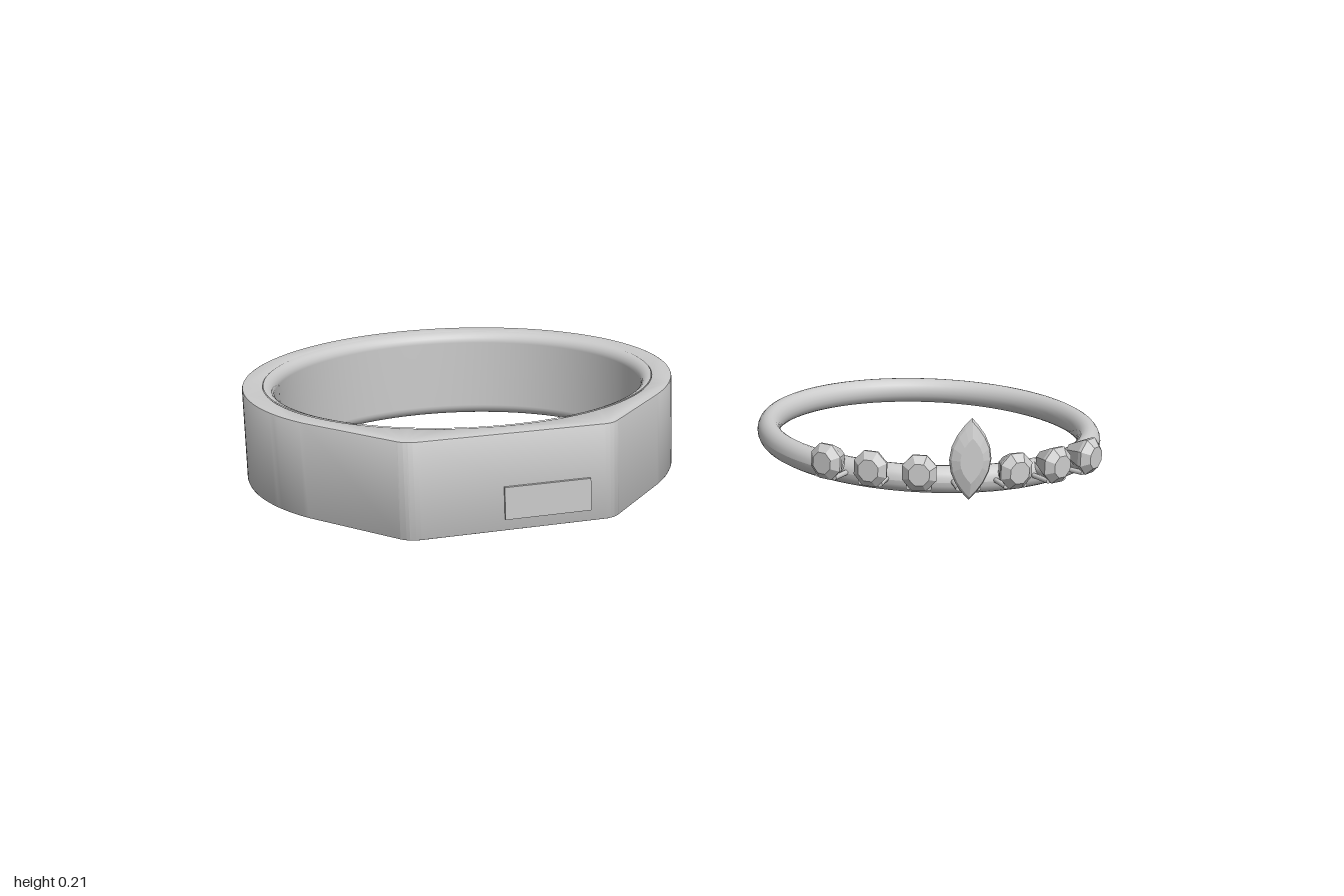
import * as THREE from 'three';
import { toCreasedNormals } from 'three/addons/utils/BufferGeometryUtils.js';

const metal = new THREE.MeshStandardMaterial({ color: 0xcccccc });
const facet = new THREE.MeshStandardMaterial({ color: 0xcccccc, flatShading: true });
const V2 = (x, y) => new THREE.Vector2(x, y);

function part(parent, name, geometry, material = metal) {
  const mesh = new THREE.Mesh(geometry, material);
  mesh.name = name;
  parent.add(mesh);
  return mesh;
}

// Wide ring: round shank running tangentially into a slanted flat front
function wideRing() {
  const ring = new THREE.Group();
  ring.name = 'wideRing';
  const H = 0.21, R = 0.485, bore = 0.415, fillet = 0.024, bevel = 0.004;

  const outline = new THREE.Shape();
  outline.absarc(0, 0, R, 2.363, 0.543, false);
  outline.lineTo(0.3, 0.436);
  outline.quadraticCurveTo(0.288, 0.456, 0.268, 0.459);
  outline.lineTo(-0.115, 0.521);
  outline.quadraticCurveTo(-0.143, 0.526, -0.163, 0.509);
  outline.closePath();
  const hole = new THREE.Path();
  hole.absarc(0, 0, bore + fillet, 0, Math.PI * 2, true);
  outline.holes.push(hole);
  const body = new THREE.ExtrudeGeometry(outline, {
    depth: H - 2 * bevel, curveSegments: 72, bevelEnabled: true,
    bevelThickness: bevel, bevelSize: bevel, bevelOffset: -bevel, bevelSegments: 2,
  });
  body.rotateX(Math.PI / 2).translate(0, H - bevel, 0);
  part(ring, 'shank', toCreasedNormals(body, 0.5));

  // bore with rounded upper and lower lips
  const profile = [];
  for (const [cy, from] of [[H - fillet, Math.PI / 2], [fillet, Math.PI]]) {
    for (let i = 0; i <= 6; i++) {
      const a = from + (i / 6) * Math.PI / 2;
      profile.push(V2(bore + fillet + fillet * Math.cos(a), cy + fillet * Math.sin(a)));
    }
  }
  part(ring, 'bore', new THREE.LatheGeometry(profile, 96));

  // small raised plate on the flat front
  const plate = part(ring, 'plate', new THREE.BoxGeometry(0.185, 0.07, 0.03));
  plate.position.set(0.143, 0.061, 0.471);
  plate.rotation.y = Math.atan2(0.062, 0.383);

  ring.position.set(-0.515, 0, -0.02);
  return ring;
}

// Facetted stone facing +z, from a profile of [radius, z] pairs
function stone(profile, sides) {
  const g = new THREE.LatheGeometry(profile.map(([r, z]) => V2(r, z)), sides);
  return g.rotateX(Math.PI / 2);
}

// Slim ring: oval band with seven stones across the front
function slimRing() {
  const ring = new THREE.Group();
  ring.name = 'slimRing';
  const section = [];
  for (let i = 0; i <= 20; i++) {
    const a = (i / 20) * Math.PI * 2;
    section.push(V2(0.379 + 0.027 * Math.cos(a), 0.031 + 0.031 * Math.sin(a)));
  }
  part(ring, 'band', new THREE.LatheGeometry(section, 96));

  for (let k = -3; k <= 3; k++) {
    const setting = new THREE.Group();
    setting.name = k === 0 ? 'marquiseSetting' : 'roundSetting';
    setting.rotation.y = -0.12 + k * 0.236;
    ring.add(setting);

    if (k === 0) {
      // tall stone: circle squeezed into a pointed lens
      const g = stone([[0, 0.405], [0.45, 0.43], [1, 0.458], [0.92, 0.465], [0.55, 0.474], [0, 0.474]], 20);
      const p = g.attributes.position;
      for (let i = 0; i < p.count; i++) {
        const r = Math.hypot(p.getX(i), p.getY(i)) || 1;
        const c = p.getX(i) / r;
        p.setXY(i, 0.046 * r * c * Math.abs(c), 0.092 * p.getY(i));
      }
      g.computeVertexNormals();
      part(setting, 'marquiseStone', g, facet).position.y = 0.101;
    } else {
      const g = stone([[0, 0.4], [0.018, 0.403], [0.039, 0.447], [0.04, 0.455], [0.024, 0.471], [0, 0.471]], 8);
      g.rotateZ(Math.PI / 8);
      const gem = part(setting, 'roundStone', g, facet);
      gem.position.y = 0.067;
      gem.scale.y = 1.08;
    }
    // peg under the stone and two claws holding it to the band
    const peg = new THREE.CylinderGeometry(0.014, 0.018, 0.06, 10).rotateX(Math.PI / 2);
    part(setting, 'peg', peg).position.set(0, 0.045, 0.405);
    for (const side of [-1, 1]) {
      const claw = part(setting, 'claw', new THREE.CylinderGeometry(0.006, 0.006, 0.065, 8).rotateX(Math.PI / 2));
      claw.position.set(side * 0.022, 0.033, 0.42);
    }
  }
  ring.position.set(0.592, 0, 0.03);
  return ring;
}

export function createModel() {
  const model = new THREE.Group();
  model.name = 'ringPair';
  model.add(wideRing(), slimRing());
  return model;
}
